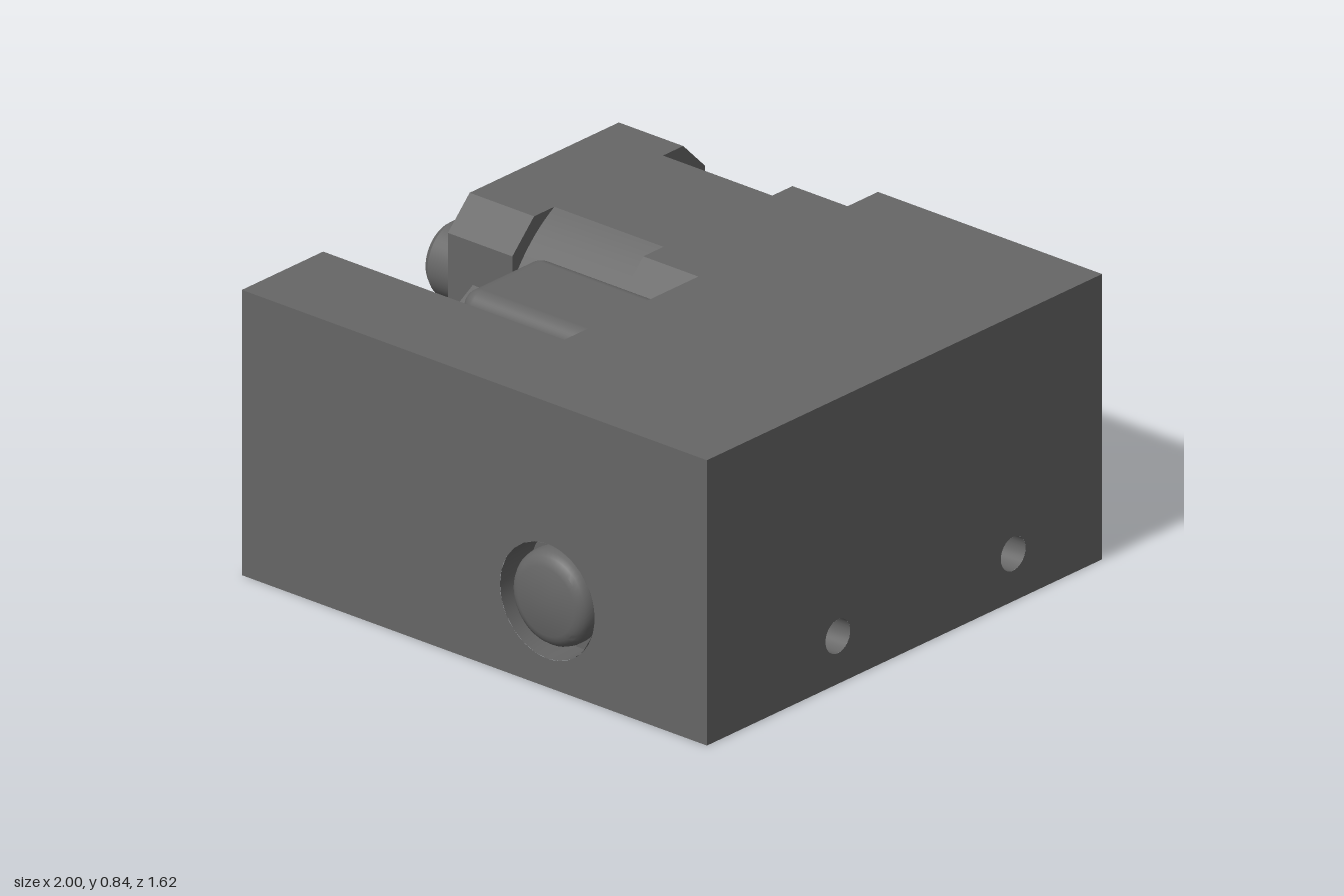
import * as THREE from 'three';
import { toCreasedNormals } from 'three/addons/utils/BufferGeometryUtils.js';
import { RoundedBoxGeometry } from 'three/addons/geometries/RoundedBoxGeometry.js';

const grey = new THREE.MeshStandardMaterial({ color: 0x666666 });
const greyDouble = new THREE.MeshStandardMaterial({ color: 0x666666, side: THREE.DoubleSide });
const V = (x, y) => new THREE.Vector2(x, y);

function mesh(name, geometry, material = grey) {
  const m = new THREE.Mesh(geometry, material);
  m.name = name;
  return m;
}

function lathe(points, segments = 48) {
  return toCreasedNormals(new THREE.LatheGeometry(points.map(p => V(...p)), segments), 0.5);
}

// Flat face in its own xy plane, with lined blind holes { x, y, r, depth, tip }
function drilledFace(name, outline, holes = []) {
  const group = new THREE.Group();
  group.name = name;
  const shape = new THREE.Shape(outline.map(p => V(...p)));
  for (const h of holes) {
    shape.holes.push(new THREE.Path().absarc(h.x, h.y, h.r, 0, Math.PI * 2, true));
    const liner = lathe([[h.r, 0], [h.r, -h.depth], [0, -h.depth - h.tip]], 24);
    liner.rotateX(Math.PI / 2).translate(h.x, h.y, 0);
    group.add(mesh('holeLining', liner, greyDouble));
  }
  group.add(mesh(name + 'Surface', new THREE.ShapeGeometry(shape, 24)));
  return group;
}

// L-shaped block, as a ring of walls with a top and a bottom
function createBlock() {
  const block = new THREE.Group();
  block.name = 'block';
  const H = 0.84;
  const outline = [[-0.66, 0.804], [1, 0.804], [1, -0.796], [0.2, -0.796], [0.2, 0.475], [-0.66, 0.475]];
  const wallHoles = {
    0: [{ x: 1.09, y: 0.253, r: 0.169, depth: 0.12, tip: 0 }],
    1: [0.53, 1.24].map(x => ({ x, y: 0.14, r: 0.05, depth: 0.1, tip: 0.03 })),
  };
  outline.forEach(([x, z], i) => {
    const [nx, nz] = outline[(i + 1) % outline.length];
    const w = Math.hypot(nx - x, nz - z);
    const wall = drilledFace('blockWall', [[0, 0], [w, 0], [w, H], [0, H]], wallHoles[i]);
    wall.position.set(x, 0, z);
    wall.rotation.y = Math.atan2(z - nz, nx - x);
    block.add(wall);
  });
  const top = drilledFace('blockTop', outline.map(([x, z]) => [x, -z]));
  top.rotation.x = -Math.PI / 2;
  top.position.y = H;
  const bottom = drilledFace('blockBottom', outline,
    [0.42, 0.79].map(x => ({ x, y: -0.23, r: 0.05, depth: 0.04, tip: 0 })));
  bottom.rotation.x = Math.PI / 2;
  block.add(top, bottom);
  return block;
}

// Hexagonal bolt with a domed head, sunk in the front
function createBolt() {
  const bolt = new THREE.Group();
  bolt.name = 'frontBolt';
  const hex = new THREE.CylinderGeometry(0.16, 0.16, 0.06, 6);
  hex.rotateY(Math.PI / 6).rotateX(Math.PI / 2).translate(0, 0, -0.09);
  const head = lathe([[0.14, -0.1], [0.14, -0.04], [0.136, -0.022], [0.127, -0.008], [0.115, 0], [0.1, 0.006], [0, 0.008]]);
  head.rotateX(Math.PI / 2);
  bolt.add(mesh('boltHex', hex), mesh('boltHead', head));
  bolt.position.set(0.43, 0.253, 0.804);
  return bolt;
}

// Motor section: a square of half-width s, with chamfered or round corners
function motorSection(name, x0, x1, round) {
  const s = 0.39, c = 0.302, flat = 0.22;
  const pts = [];
  for (let k = 0; k < 4; k++) {
    const turn = k * Math.PI / 2;
    if (round) {
      const r = Math.hypot(s, flat), a = Math.atan2(flat, s), n = 10;
      for (let i = 0; i <= n; i++) {
        const t = turn + a + (Math.PI / 2 - 2 * a) * i / n;
        pts.push(V(r * Math.cos(t), r * Math.sin(t)));
      }
    } else {
      for (const p of [V(s, c), V(c, s)]) pts.push(p.rotateAround(V(0, 0), turn));
    }
  }
  const geo = new THREE.ExtrudeGeometry(new THREE.Shape(pts), { depth: x1 - x0, bevelEnabled: false });
  geo.rotateY(Math.PI / 2).translate(x0, 0, 0);
  return mesh(name, toCreasedNormals(geo, 0.4));
}

function createMotor() {
  const motor = new THREE.Group();
  motor.name = 'motor';
  motor.add(
    motorSection('motorFrontFlange', -0.66, -0.43, false),
    motorSection('motorWaist', -0.43, -0.04, true),
    motorSection('motorRearFlange', -0.04, 0.2, false));
  // Tapered collar and shaft, both pointing to -x
  const collar = lathe([[0.235, 0], [0.235, 0.02], [0.14, 0.06], [0, 0.06]]);
  const shaft = lathe([[0.11, 0], [0.11, 0.32], [0.095, 0.34], [0, 0.34]]);
  for (const [name, g] of [['motorCollar', collar], ['motorShaft', shaft]]) {
    g.rotateZ(Math.PI / 2).translate(-0.66, 0, 0);
    motor.add(mesh(name, g));
  }
  motor.position.set(0, 0.42, -0.42);
  return motor;
}

// Rounded housing in the slot, with hollow hexagonal fittings
function createHousing() {
  const housing = new THREE.Group();
  housing.name = 'housing';
  const box = new RoundedBoxGeometry(0.52, 0.75, 0.335, 5, 0.05);
  box.translate(0.01, 0.45, 0.232);
  housing.add(mesh('housingBody', box));
  const hex = new THREE.Shape();
  for (let i = 0; i < 6; i++) {
    const a = Math.PI / 2 + i * Math.PI / 3;
    hex[i ? 'lineTo' : 'moveTo'](0.075 * Math.cos(a), 0.075 * Math.sin(a));
  }
  hex.holes.push(new THREE.Path().absarc(0, 0, 0.035, 0, Math.PI * 2, true));
  const geo = new THREE.ExtrudeGeometry(hex, { depth: 0.1, bevelEnabled: false });
  geo.rotateY(-Math.PI / 2);
  for (const y of [0.22, 0.68]) {
    const fitting = mesh('hexFitting', geo);
    fitting.position.set(-0.24, y, 0.232);
    housing.add(fitting);
  }
  return housing;
}

export function createModel() {
  const model = new THREE.Group();
  model.name = 'motorBlock';
  model.add(createBlock(), createBolt(), createMotor(), createHousing());
  return model;
}
